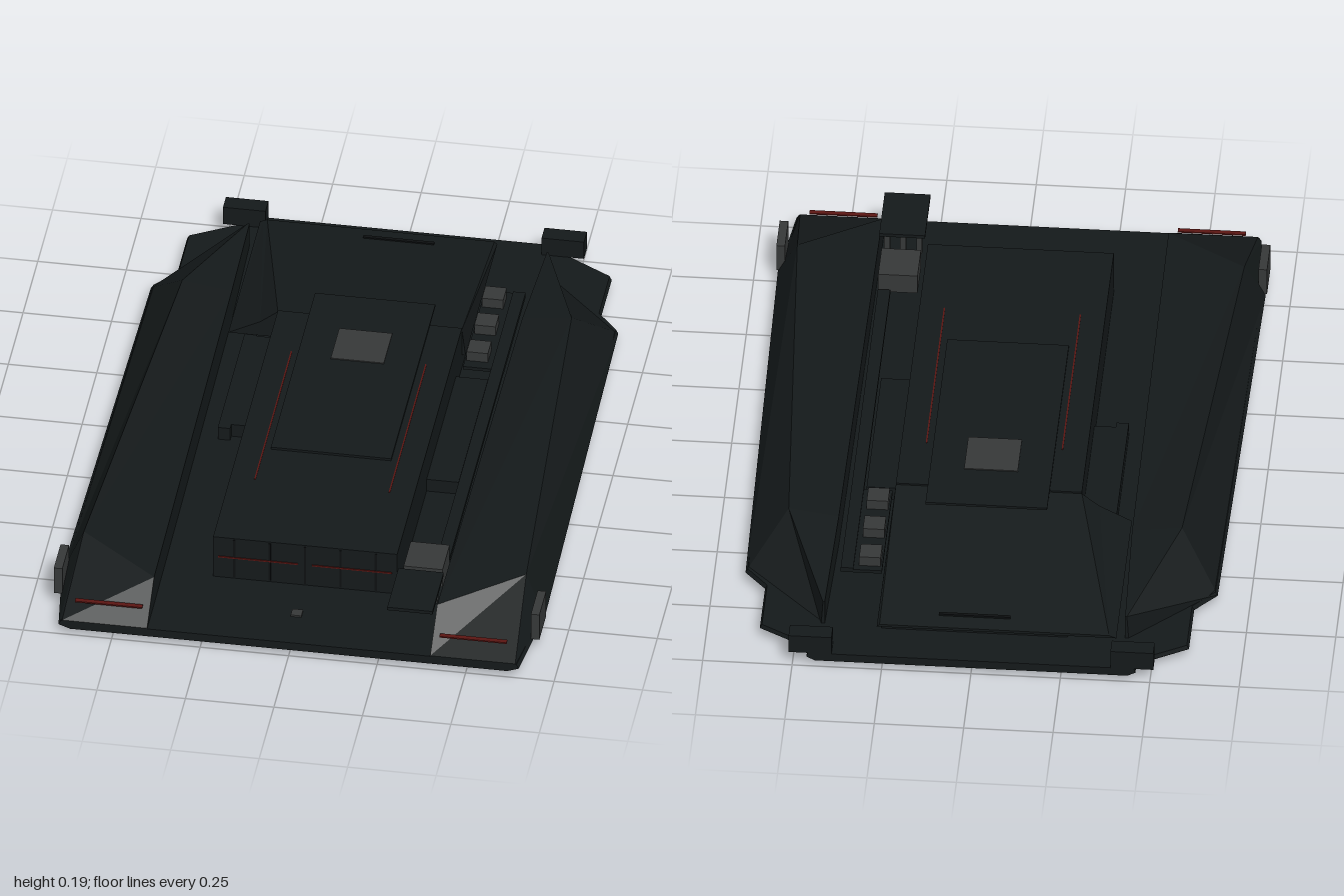
import * as THREE from 'three';

const paint = (color) => new THREE.MeshStandardMaterial({ color, flatShading: true, side: THREE.DoubleSide });
const dark = paint(0x14191a);
const seam = paint(0x0d1011);
const grey = paint(0x363838);
const red = paint(0x5a1512);

// Closed skin through matching rings, with a fan cap at each end.
// Rings run from the + end of the axis, clockwise seen from that end.
function loft(rings) {
  const pos = [];
  const n = rings[0].length;
  const tri = (...pts) => pts.forEach((p) => pos.push(...p));
  for (let i = 0; i < rings.length - 1; i++) {
    for (let j = 0; j < n; j++) {
      const k = (j + 1) % n;
      const [a, b, c, d] = [rings[i][j], rings[i][k], rings[i + 1][k], rings[i + 1][j]];
      tri(a, b, c);
      tri(a, c, d);
    }
  }
  const cap = (ring, flip) => {
    const mid = [0, 1, 2].map((q) => ring.reduce((s, p) => s + p[q], 0) / n);
    ring.forEach((p, j) => {
      const next = ring[(j + 1) % n];
      if (flip) tri(mid, next, p);
      else tri(mid, p, next);
    });
  };
  cap(rings[0], true);
  cap(rings[rings.length - 1], false);
  const geo = new THREE.BufferGeometry();
  geo.setAttribute('position', new THREE.Float32BufferAttribute(pos, 3));
  geo.computeVertexNormals();
  return geo;
}

export function createModel() {
  const model = new THREE.Group();
  const add = (name, geo, mat) => {
    const mesh = new THREE.Mesh(geo, mat);
    mesh.name = name;
    model.add(mesh);
    return mesh;
  };
  // Box given by its limits on each axis
  const box = (name, [x0, x1], [y0, y1], [z0, z1], mat = dark) =>
    add(name, new THREE.BoxGeometry(x1 - x0, y1 - y0, z1 - z0), mat)
      .position.set((x0 + x1) / 2, (y0 + y1) / 2, (z0 + z1) / 2);

  // Base tray: wide sill, narrower keel, ends rising from the flat bottom
  const half = [[0.46, -1], [0.46, -0.96], [0.6, -0.88], [0.6, -0.7], [0.66, -0.63], [0.68, 0.75], [0.65, 1]];
  const outline = [...half, ...half.map(([x, z]) => [-x, z]).reverse()];
  const ring = (y, sx, z0 = -1, z1 = 1) =>
    outline.map(([x, z]) => [x * sx, y, THREE.MathUtils.clamp(z, z0, z1)]);
  add('baseTray', loft([ring(0.045, 0.99), ring(0.032, 1), ring(0.02, 0.95), ring(0, 0.94, -0.85, 0.6)]), dark);
  box('frontPin', [-0.015, 0.015], [0, 0.05], [0.845, 0.875], grey);

  // Faceted side pods: inner foot, inner top, ridge, outer foot
  const podRings = [
    [[0.4, 0.04, 1], [0.4, 0.047, 1], [0.64, 0.047, 1], [0.65, 0.035, 1]],
    [[0.4, 0.04, 0.88], [0.4, 0.138, 0.88], [0.625, 0.155, 0.72], [0.682, 0.035, 0.75]],
    [[0.41, 0.04, -0.5], [0.41, 0.145, -0.5], [0.55, 0.165, -0.5], [0.66, 0.035, -0.63]],
    [[0.42, 0.04, -0.86], [0.42, 0.12, -0.86], [0.425, 0.12, -0.86], [0.43, 0.04, -0.86]],
  ];
  for (const s of [1, -1]) {
    const rings = podRings.map((r) => {
      const pts = r.map(([x, y, z]) => [s * x, y, z]);
      return s > 0 ? pts : pts.reverse();
    });
    add('sidePod', loft(rings), dark);
    const span = (a, b) => (s > 0 ? [a, b] : [-b, -a]);
    box('podLightStrip', span(0.42, 0.61), [0.087, 0.091], [0.95, 0.965], red);
    box('sidePlate', span(0.662, 0.686), [0.04, 0.125], [0.75, 0.865], grey);
    box('rearBlock', span(0.39, 0.51), [0.045, 0.102], [-1, -0.95]);
    box('bodyLightStrip', span(0.02, 0.245), [0.113, 0.117], [0.72, 0.723], red);
    box('topLightStrip', span(0.188, 0.192), [0.178, 0.182], [-0.19, 0.43], red);
  }

  // Central body with a raised top panel and a seamed front
  box('centralBody', [-0.26, 0.26], [0.045, 0.18], [-0.38, 0.72]);
  box('topPanel', [-0.17, 0.17], [0.18, 0.187], [-0.47, 0.28]);
  box('topSquare', [-0.075, 0.075], [0.186, 0.19], [-0.31, -0.165], grey);
  for (const x of [-0.2, -0.1, 0, 0.1, 0.2])
    box('frontSeam', [x - 0.003, x + 0.003], [0.05, 0.175], [0.72, 0.722], seam);

  // Raised rear deck sloping down to a thin back edge
  add('rearDeck', loft([
    [[-0.4, 0.088, -0.38], [-0.31, 0.135, -0.38], [-0.26, 0.175, -0.38], [0.26, 0.175, -0.38], [0.27, 0.088, -0.38]],
    [[-0.4, 0.088, -0.92], [-0.39, 0.092, -0.92], [-0.38, 0.096, -0.92], [0.262, 0.096, -0.92], [0.27, 0.088, -0.92]],
  ]), dark);
  box('deckSupport', [-0.26, 0.26], [0.04, 0.09], [-0.87, -0.38]);
  box('rearSlit', [-0.1, 0.1], [0.09, 0.108], [-0.875, -0.865], seam);

  // Narrow rails in the channels beside the body
  box('rightRail', [-0.355, -0.32], [0.045, 0.085], [-0.39, 0.07]);
  box('rightLedge', [-0.32, -0.26], [0.045, 0.085], [-0.38, 0.05]);
  box('leftRail', [0.26, 0.35], [0.045, 0.085], [-0.28, 0.22]);
  box('leftPipe', [0.355, 0.39], [0.092, 0.105], [-0.68, 0.6]);

  // Equipment rack in the left channel: shelves on small posts
  box('rearShelf', [0.275, 0.39], [0.09, 0.1], [-0.68, -0.31]);
  for (const z of [-0.63, -0.5, -0.37]) box('rackBlock', [0.28, 0.34], [0.1, 0.13], [z - 0.03, z + 0.03], grey);
  box('rackBox', [0.28, 0.39], [0.09, 0.15], [0.61, 0.73], grey);
  for (const x of [0.29, 0.335, 0.38])
    box('rackPost', [x - 0.008, x + 0.008], [0.09, 0.162], [0.79, 0.81], grey);
  box('frontCover', [0.272, 0.4], [0.16, 0.17], [0.77, 0.96]);

  return model;
}
